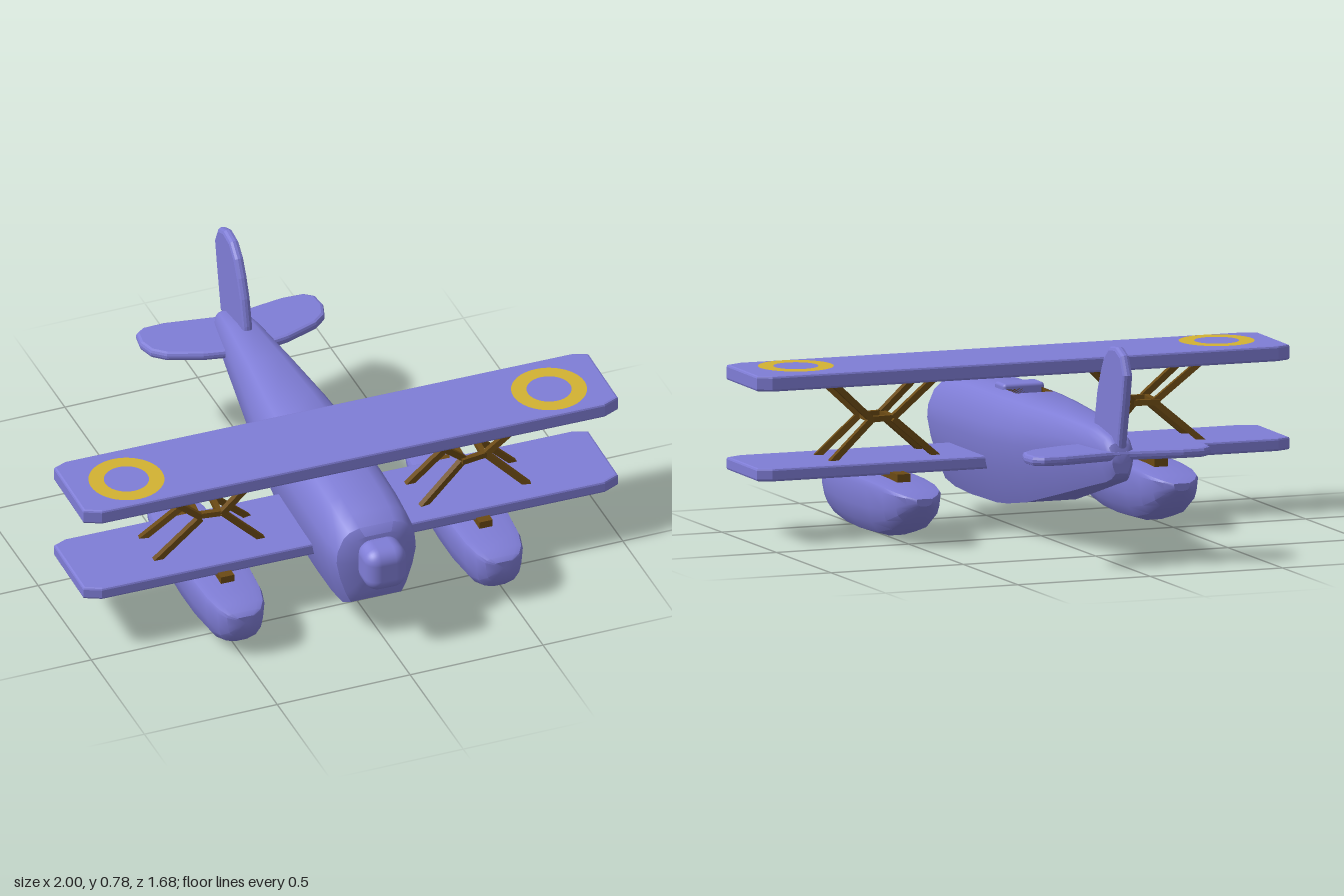
import * as THREE from 'three';
import { toCreasedNormals } from 'three/addons/utils/BufferGeometryUtils.js';
import { RoundedBoxGeometry } from 'three/addons/geometries/RoundedBoxGeometry.js';

const paint = (color, side = THREE.FrontSide) => new THREE.MeshStandardMaterial({ color, side });
const BLUE = paint(0x7f7dd6), BROWN = paint(0x6b4a14), YELLOW = paint(0xd2b232);

function add(parent, name, geometry, material, x = 0, y = 0, z = 0) {
  const mesh = new THREE.Mesh(geometry, material);
  mesh.name = name;
  mesh.position.set(x, y, z);
  parent.add(mesh);
  return mesh;
}

// Loft along -z. half: right side of the section, bottom to top, as fractions.
// stations: [z, top, bottom, halfWidth]. open(i, j) leaves a panel out.
function loft(half, stations, open = () => false) {
  const outline = [...half, ...half.map(([x, y]) => [-x, y]).reverse()];
  const n = outline.length;
  const rings = stations.map(([z, top, bottom, w]) =>
    outline.map(([x, y]) => [x * w, bottom + y * (top - bottom), z]));
  const pos = [];
  const tri = (...corners) => corners.forEach((p) => pos.push(...p));
  for (let i = 0; i < rings.length - 1; i++) {
    for (let j = 0; j < n; j++) {
      if (open(i, j)) continue;
      const k = (j + 1) % n, a = rings[i], b = rings[i + 1];
      tri(a[j], b[j], a[k]);
      tri(a[k], b[j], b[k]);
    }
  }
  const last = rings.length - 1;
  for (const i of [0, last]) {
    const [z, top, bottom] = stations[i], mid = [0, (top + bottom) / 2, z];
    for (let j = 0; j < n; j++) {
      const p = rings[i][j], q = rings[i][(j + 1) % n];
      if (i === 0) tri(mid, p, q); else tri(mid, q, p);
    }
  }
  const geometry = new THREE.BufferGeometry();
  geometry.setAttribute('position', new THREE.Float32BufferAttribute(pos, 3));
  return toCreasedNormals(geometry, 0.6);
}

// Flat plate with bevelled rim, extruded along z and centred on it
function plate(points, thickness, bevel) {
  const shape = new THREE.Shape(points.map(([x, y]) => new THREE.Vector2(x, y)));
  const geometry = new THREE.ExtrudeGeometry(shape, {
    depth: thickness - 2 * bevel, bevelThickness: bevel, bevelSize: bevel,
    bevelOffset: -bevel, bevelSegments: 2,
  });
  return geometry.translate(0, 0, bevel - thickness / 2);
}

// Square bar between two points
function bar(parent, name, from, to, size) {
  const a = new THREE.Vector3(...from), b = new THREE.Vector3(...to);
  const mesh = add(parent, name, new THREE.BoxGeometry(size, size, a.distanceTo(b)), BROWN);
  mesh.position.copy(a).add(b).multiplyScalar(0.5);
  mesh.lookAt(b);
}

export function createModel() {
  const model = new THREE.Group();
  const plane = new THREE.Group();
  plane.name = 'biplane';
  plane.rotation.y = -0.0165;
  model.add(plane);

  // Fuselage, with the top panel left open at the cockpit
  const body = [[0.64, 0], [0.76, 0.125], [0.91, 0.35], [1, 0.575], [0.98, 0.72],
    [0.83, 0.89], [0.68, 0.96], [0.43, 1]];
  const stations = [
    [0.73, 0.43, 0.2, 0.115], [0.71, 0.458, 0.155, 0.148], [0.65, 0.48, 0.12, 0.162],
    [0.55, 0.493, 0.105, 0.165], [0.4, 0.5, 0.1, 0.165], [0.16, 0.502, 0.105, 0.163],
    [0.06, 0.502, 0.115, 0.16], [-0.1, 0.5, 0.142, 0.145], [-0.35, 0.496, 0.205, 0.11],
    [-0.6, 0.482, 0.27, 0.078], [-0.72, 0.462, 0.3, 0.06], [-0.755, 0.44, 0.315, 0.05],
    [-0.77, 0.4, 0.335, 0.035]];
  add(plane, 'fuselage', loft(body, stations, (i, j) => i === 5 && j === body.length - 1), BLUE);
  add(plane, 'cockpit', new THREE.BoxGeometry(0.138, 0.1, 0.1),
    paint(0x6b4a14, THREE.BackSide), 0, 0.452, 0.11);
  add(plane, 'cockpitFairing', new RoundedBoxGeometry(0.155, 0.05, 0.09, 2, 0.012), BLUE, 0, 0.495, 0.205);
  add(plane, 'noseHub', new RoundedBoxGeometry(0.155, 0.165, 0.14, 4, 0.05), BLUE, 0, 0.335, 0.77);

  // Small striped patch on the right flank
  [[0xc04050, 0.415], [0x4a90c0, 0.395]].forEach(([color, y]) =>
    add(plane, 'flankStripe', new THREE.BoxGeometry(0.012, 0.016, 0.07), paint(color), -0.151, y, 0.02)
      .rotation.y = 0.09);

  // Wings with clipped corners
  const wing = [[-1, -0.15], [-0.95, -0.172], [0.95, -0.172], [1, -0.15],
    [1, 0.14], [0.94, 0.168], [-0.94, 0.168], [-1, 0.14]];
  for (const [name, y, t] of [['upperWing', 0.572, 0.055], ['lowerWing', 0.25, 0.046]]) {
    add(plane, name, plate(wing, t, 0.008).rotateX(Math.PI / 2), BLUE, 0, y, 0.32);
  }

  // Tail surfaces
  const halfTail = [[0.03, -0.54], [0.16, -0.565], [0.28, -0.61], [0.325, -0.65], [0.343, -0.71],
    [0.335, -0.77], [0.3, -0.797], [0.22, -0.8], [0.03, -0.77]];
  const tail = [...halfTail, ...halfTail.map(([x, z]) => [-x, z]).reverse()];
  add(plane, 'tailplane', plate(tail.reverse(), 0.034, 0.012).rotateX(Math.PI / 2), BLUE, 0, 0.397, 0);
  const fin = [[0.54, 0.46], [0.545, 0.5], [0.57, 0.6], [0.6, 0.67], [0.635, 0.73], [0.685, 0.773],
    [0.75, 0.78], [0.805, 0.757], [0.838, 0.69], [0.82, 0.6], [0.78, 0.425]];
  add(plane, 'fin', plate(fin, 0.036, 0.013).rotateY(Math.PI / 2), BLUE);

  // Parts repeated on both sides
  const hull = [[0.25, 0], [0.62, 0.07], [0.85, 0.25], [0.94, 0.5], [1, 0.88], [0.93, 0.97], [0.7, 1]];
  const floatGeometry = loft(hull, [
    [0.698, 0.178, 0.125, 0.035], [0.685, 0.192, 0.09, 0.065], [0.65, 0.203, 0.05, 0.088],
    [0.58, 0.209, 0.023, 0.105], [0.45, 0.212, 0.008, 0.114], [0.32, 0.213, 0.004, 0.115],
    [0.15, 0.212, 0.012, 0.112], [0.03, 0.207, 0.042, 0.103], [-0.05, 0.198, 0.085, 0.087],
    [-0.095, 0.188, 0.125, 0.062], [-0.118, 0.178, 0.152, 0.03]]);
  for (const side of [1, -1]) {
    const cx = side * 0.483;
    add(plane, 'float', floatGeometry, BLUE, cx, 0, 0);
    add(plane, 'floatPylon', new THREE.BoxGeometry(0.05, 0.04, 0.44), BROWN, cx, 0.217, 0.3);

    // X-shaped wing struts, front and rear, joined at the middle
    const mx = side * 0.495;
    for (const [zEnd, zMid] of [[0.388, 0.372], [0.24, 0.258]]) {
      for (const dx of [-1, 1]) {
        for (const yEnd of [0.26, 0.558]) {
          bar(plane, 'wingStrut', [mx + dx * 0.205, yEnd, zEnd], [mx + dx * 0.04, 0.41, zMid], 0.022);
        }
      }
      bar(plane, 'strutBridge', [mx - 0.05, 0.41, zMid], [mx + 0.05, 0.41, zMid], 0.02);
    }
    for (const dx of [-0.04, 0.04]) {
      bar(plane, 'strutLink', [mx + dx, 0.41, 0.372], [mx + dx, 0.41, 0.258], 0.02);
    }

    // Painted ring on the upper wing
    add(plane, 'wingRing', new THREE.RingGeometry(0.079, 0.133, 40).rotateX(-Math.PI / 2),
      YELLOW, side * 0.79, 0.602, 0.332);
  }
  return model;
}
